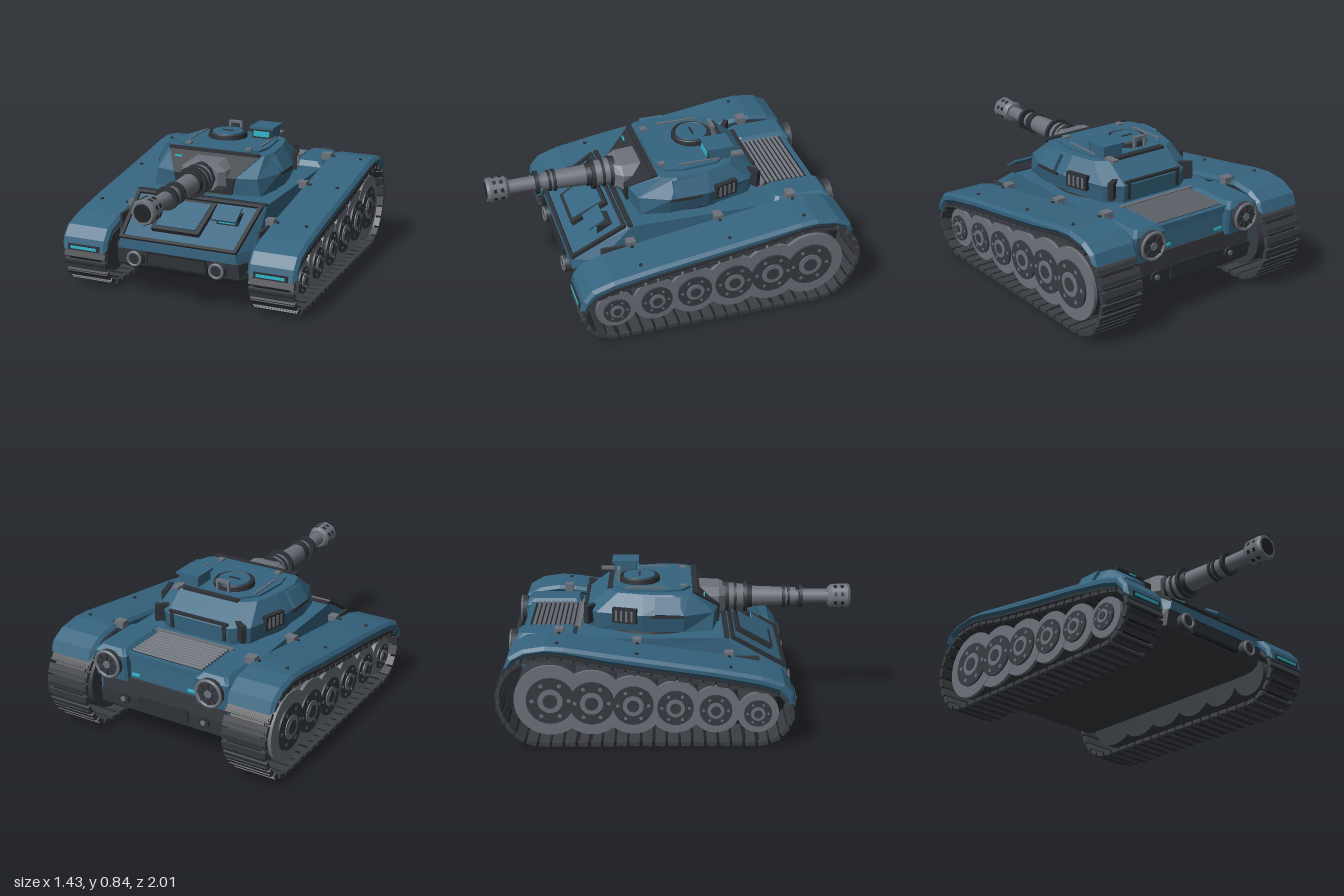
import * as THREE from 'three';

const paint = (name, color) => Object.assign(new THREE.MeshStandardMaterial({ color }), { name });
const M = {
  blue: paint('blue armour', 0x35647f),
  dark: paint('dark trim', 0x2d3136),
  black: paint('black recess', 0x202326),
  hull: paint('lower hull grey', 0x373b41),
  track: paint('track grey', 0x3b3e43),
  steel: paint('steel', 0x6c717a),
  cyan: paint('cyan lamp', 0x2fb9cc),
};

function add(parent, name, geo, mat, x = 0, y = 0, z = 0) {
  const m = new THREE.Mesh(geo, mat);
  m.name = name;
  m.position.set(x, y, z);
  parent.add(m);
  return m;
}
const box = (p, name, mat, w, h, d, x, y, z) => add(p, name, new THREE.BoxGeometry(w, h, d), mat, x, y, z);

// cylinder along the axis 'x', 'y' or 'z'; r1 is the radius at the + end
function cyl(p, name, mat, axis, r0, r1, len, x, y, z, seg = 28) {
  const g = new THREE.CylinderGeometry(r1, r0, len, seg);
  if (axis === 'x') g.rotateZ(-Math.PI / 2);
  if (axis === 'z') g.rotateX(Math.PI / 2);
  return add(p, name, g, mat, x, y, z);
}

// solid through mirrored plan outlines: levels of [y, [[x, z], ...front to back]]
function loft(levels) {
  const rings = levels.map(([y, half]) => [
    ...half.map(([x, z]) => [x, y, z]),
    ...half.slice().reverse().map(([x, z]) => [-x, y, z]),
  ]);
  const n = rings[0].length, v = [];
  const tri = (...pts) => pts.forEach((p) => v.push(...p));
  for (let k = 0; k < rings.length - 1; k++) {
    const a = rings[k], b = rings[k + 1];
    for (let i = 0; i < n; i++) {
      const j = (i + 1) % n;
      tri(a[i], a[j], b[j]);
      tri(a[i], b[j], b[i]);
    }
  }
  const lo = rings[0], hi = rings[rings.length - 1];
  for (let i = 1; i < n - 1; i++) {
    tri(hi[0], hi[i], hi[i + 1]);
    tri(lo[0], lo[i + 1], lo[i]);
  }
  const g = new THREE.BufferGeometry();
  g.setAttribute('position', new THREE.Float32BufferAttribute(v, 3));
  g.computeVertexNormals();
  return g;
}

// side outline of [z, y] points extruded across x
function sideExtrude(pts, width, bevel) {
  const g = new THREE.ExtrudeGeometry(new THREE.Shape(pts.map((p) => new THREE.Vector2(...p))), {
    depth: width - 2 * bevel, bevelEnabled: bevel > 0, bevelSize: bevel, bevelThickness: bevel,
    bevelOffset: -bevel, bevelSegments: 1,
  });
  g.translate(0, 0, -width / 2 + bevel);
  return g.rotateY(-Math.PI / 2);
}

const FENDER_TOP = [[.635, .24], [.62, .31], [.57, .37], [.45, .41], [.2, .455], [-.1, .5], [-.4, .545],
  [-.62, .58], [-.72, .587], [-.84, .57], [-.92, .525], [-.945, .46]];
const FENDER_LOW = [[-.915, .46], [-.885, .5], [-.82, .53], [-.72, .545], [-.62, .535], [-.4, .49],
  [-.1, .442], [.2, .398], [.44, .352], [.54, .32], [.585, .27], [.6, .24]];
const TRACK = [[.46, .02], [.55, .06], [.605, .14], [.615, .21], [.57, .285], [.5, .315], [.2, .365], [-.1, .408],
  [-.4, .458], [-.62, .505], [-.72, .513], [-.84, .495], [-.93, .43], [-.98, .33], [-.98, .23], [-.93, .12],
  [-.86, .05], [-.77, .02], [-.4, .018], [0, .018]];
const WHEELS = [[.43, .19, .115], [.2, .21, .135], [-.02, .225, .15], [-.25, .24, .168], [-.475, .255, .185], [-.7, .27, .2]];

function runningGear(s) {
  const g = new THREE.Group();
  g.name = s > 0 ? 'leftRunningGear' : 'rightRunningGear';
  const cx = s * .57;

  // track links around the loop
  const path = new THREE.CatmullRomCurve3(TRACK.map(([z, y]) => new THREE.Vector3(0, y, z)), true, 'centripetal');
  const count = 52;
  for (let i = 0; i < count; i++) {
    const p = path.getPointAt(i / count), t = path.getTangentAt(i / count);
    const link = new THREE.Group();
    link.name = 'trackLink';
    link.position.set(cx, Math.max(p.y, .018), p.z);
    link.rotation.x = Math.atan2(-t.y, t.z);
    box(link, 'linkPad', M.track, .262, .022, .056, 0, 0, 0);
    box(link, 'linkGrouser', M.dark, .25, .012, .018, 0, -.012, .012);
    box(link, 'linkPin', M.black, .2, .008, .03, 0, .006, .036);
    g.add(link);
  }

  // road wheels, growing towards the back
  WHEELS.forEach(([z, y, r], i) => {
    const face = .672 + i * .002;
    cyl(g, 'wheelBody', M.hull, 'x', r * .98, r * .98, .2, cx, y, z);
    cyl(g, 'wheelRim', M.steel, 'x', r, r, .02, s * (face - .01), y, z, 36);
    cyl(g, 'wheelDisc', M.hull, 'x', r * .66, r * .66, .01, s * (.684 + i * .0005), y, z);
    cyl(g, 'wheelHub', M.steel, 'x', r * .34, r * .34, .014, s * .689, y, z);
    cyl(g, 'hubCap', M.hull, 'x', r * .2, r * .2, .006, s * .697, y, z, 16);
    for (let k = 0; k < 6; k++) {
      const a = k * Math.PI / 3;
      cyl(g, 'wheelBolt', M.steel, 'x', r * .06, r * .06, .01, s * .687, y + Math.sin(a) * r * .5, z + Math.cos(a) * r * .5, 8);
    }
  });

  // fender with a dark lower lip
  add(g, 'fender', sideExtrude([...FENDER_TOP, ...FENDER_LOW], .285, .018), M.blue, cx + s * .002);
  const edge = FENDER_LOW.slice(2, 10);
  const lip = [...edge, ...edge.slice().reverse().map(([z, y]) => [z, y - .016])];
  add(g, 'fenderLip', sideExtrude(lip, .272, 0), M.dark, cx);
  box(g, 'fenderLampFrame', M.dark, .2, .034, .012, cx, .258, .632);
  box(g, 'fenderLamp', M.cyan, .165, .016, .008, cx, .258, .638);

  // bolts and hinges on the fender
  for (const [z, y] of [[.28, .442], [-.23, .52], [-.66, .584]]) {
    for (const x of [.47, .64]) cyl(g, 'fenderBolt', M.dark, 'y', .01, .01, .014, s * x, y, z, 8);
    box(g, 'fenderHinge', M.steel, .06, .04, .05, s * .425, y, z);
  }
  return g;
}

function buildHull() {
  const g = new THREE.Group();
  g.name = 'hull';
  add(g, 'lowerHull', loft([
    [.13, [[.3, .5], [.33, .46], [.33, -.78]]],
    [.19, [[.37, .585], [.42, .5], [.42, -.86]]],
    [.285, [[.37, .605], [.42, .5], [.42, -.88]]],
  ]), M.hull);
  add(g, 'upperHull', loft([
    [.285, [[.36, .605], [.41, .48], [.42, -.87]]],
    [.34, [[.35, .605], [.41, .46], [.42, -.87]]],
    [.53, [[.385, .29], [.4, .26], [.42, -.86]]],
  ]), M.blue);
  for (const s of [1, -1]) box(g, 'hullSideWall', M.hull, .015, .24, 1.3, s * .425, .31, -.2);

  // nose panel and headlamps
  box(g, 'nosePanelFrame', M.black, .37, .085, .02, 0, .242, .597);
  box(g, 'nosePanel', M.dark, .345, .062, .02, 0, .242, .603);
  for (const s of [1, -1]) {
    cyl(g, 'headlampBody', M.hull, 'z', .052, .047, .05, s * .25, .24, .605);
    add(g, 'headlampRing', new THREE.TorusGeometry(.038, .009, 8, 24), M.steel, s * .25, .24, .63);
    cyl(g, 'headlampLens', M.dark, 'z', .032, .032, .01, s * .25, .24, .628, 20);
  }

  // sloped front plate: frame and hatch in the slope's own plane
  const slope = new THREE.Group();
  slope.name = 'frontPlate';
  slope.position.set(0, .435, .4475);
  slope.rotation.x = Math.atan2(.19, .315);
  box(slope, 'frameBottom', M.dark, .7, .02, .02, 0, .004, .172);
  box(slope, 'frameTop', M.dark, .77, .02, .02, 0, .004, -.172);
  for (const s of [1, -1]) box(slope, 'frameSide', M.dark, .022, .02, .36, s * .362, .004, 0).rotation.y = -s * .095;
  add(slope, 'hatchFrame', loft([[0, [[.145, .1], [.168, -.14]]], [.026, [[.145, .1], [.168, -.14]]]]), M.dark, -.04);
  add(slope, 'hatchPlate', loft([[.02, [[.12, .078], [.142, -.12]]], [.033, [[.12, .078], [.142, -.12]]]]), M.blue, -.04);
  box(slope, 'visorLid', M.blue, .15, .012, .11, .23, .06, -.045);
  g.add(slope);
  box(g, 'visorBody', M.dark, .13, .06, .1, .23, .465, .385);
  box(g, 'visorLamp', M.cyan, .095, .026, .008, .23, .466, .438);

  // deck, turret ring and engine grille
  box(g, 'deckEdge', M.dark, .8, .012, .03, 0, .532, .27);
  cyl(g, 'turretRing', M.dark, 'y', .34, .33, .04, 0, .54, -.14, 40);
  box(g, 'grilleBed', M.black, .46, .02, .3, 0, .53, -.71);
  for (let i = 0; i < 10; i++) box(g, 'grilleSlat', M.steel, .45, .014, .016, 0, .545, -.58 - i * .027).rotation.x = .4;
  box(g, 'grilleFrontBar', M.steel, .5, .02, .02, 0, .545, -.56);
  box(g, 'grilleRearBar', M.blue, .46, .04, .03, 0, .525, -.86);

  // rear engine pods with round fans
  for (const s of [1, -1]) {
    add(g, 'enginePod', loft([
      [.38, [[.09, .17], [.105, .15], [.105, -.15], [.09, -.16]]],
      [.53, [[.09, .17], [.105, .15], [.105, -.16], [.09, -.17]]],
      [.562, [[.06, .15], [.075, .13], [.075, -.12], [.06, -.14]]],
    ]), M.blue, s * .325, 0, -.74);
    cyl(g, 'fanHousing', M.hull, 'z', .085, .08, .03, s * .325, .475, -.92);
    add(g, 'fanRing', new THREE.TorusGeometry(.074, .01, 8, 28), M.steel, s * .325, .475, -.935);
    cyl(g, 'fanHub', M.steel, 'z', .022, .022, .012, s * .325, .475, -.938, 16);
    for (let k = 0; k < 4; k++) box(g, 'fanBlade', M.dark, .135, .012, .008, s * .325, .475, -.936).rotation.z = k * Math.PI / 4;
    box(g, 'rearLamp', M.cyan, .05, .015, .008, s * .18, .42, -.871);
    cyl(g, 'rearPort', M.dark, 'z', .035, .035, .02, s * .26, .26, -.88, 20);
    cyl(g, 'rearPortCap', M.steel, 'z', .015, .015, .01, s * .26, .26, -.892, 12);
  }
  box(g, 'rearPlate', M.hull, .8, .11, .012, 0, .34, -.874);
  box(g, 'rearPanel', M.dark, .32, .08, .012, 0, .26, -.88);
  return g;
}

function buildTurret() {
  const g = new THREE.Group();
  g.name = 'turret';
  add(g, 'turretShell', loft([
    [.55, [[.18, .22], [.33, .19], [.36, .03], [.35, -.2], [.29, -.45], [.2, -.52]]],
    [.65, [[.19, .225], [.31, .2], [.383, .03], [.375, -.2], [.3, -.46], [.2, -.53]]],
    [.755, [[.27, .085], [.3, .06], [.325, -.02], [.31, -.2], [.27, -.34], [.2, -.39]]],
  ]), M.blue);
  add(g, 'roofPlate', loft([.75, .767].map((y) => [y, [[.18, .07], [.25, .02], [.27, -.08], [.25, -.28], [.17, -.37]]])), M.blue);
  add(g, 'mantletSurround', loft([
    [.552, [[.17, .235], [.17, 0]]], [.65, [[.19, .238], [.19, 0]]], [.752, [[.28, .1], [.28, .05]]],
  ]), M.dark);
  box(g, 'roofFrontLip', M.dark, .56, .014, .03, 0, .757, .095);
  box(g, 'turretLamp', M.cyan, .045, .01, .008, -.2, .722, .148);

  // side panels, vents and rear frame
  for (const s of [1, -1]) {
    const panel = box(g, 'sidePanel', M.blue, .025, .1, .14, s * .36, .7, -.06);
    panel.rotation.z = s * .52;
    box(g, 'sideStrap', M.dark, .03, .014, .18, s * .375, .645, -.06);
    const vent = new THREE.Group();
    vent.name = 'sideVent';
    vent.position.set(s * .35, .645, -.3);
    vent.rotation.y = s * .28;
    box(vent, 'ventFrame', M.dark, .03, .085, .14, 0, 0, 0);
    for (let i = 0; i < 4; i++) box(vent, 'ventSlat', M.steel, .008, .06, .012, s * .016, 0, -.045 + i * .03);
    g.add(vent);
    box(g, 'roofRail', M.steel, .01, .012, .24, s * .225, .768, -.18);
    box(g, 'roofClamp', M.steel, .035, .02, .035, s * .19, .768, .03);
    const corner = box(g, 'rearCorner', M.dark, .1, .1, .03, s * .25, .63, -.49);
    corner.rotation.y = s * .6;
    box(g, 'rearUpright', M.dark, .02, .1, .02, s * .17, .62, -.525);
  }
  box(g, 'rearBand', M.dark, .38, .014, .02, 0, .665, -.522);
  box(g, 'rearRoofStrip', M.dark, .36, .014, .03, 0, .755, -.385);

  // commander hatch
  cyl(g, 'hatchBase', M.dark, 'y', .118, .115, .03, -.05, .775, -.22, 36);
  cyl(g, 'hatchLid', M.blue, 'y', .098, .09, .03, -.05, .786, -.22, 32);
  add(g, 'hatchRim', new THREE.TorusGeometry(.106, .009, 8, 36).rotateX(Math.PI / 2), M.dark, -.05, .79, -.22);
  box(g, 'hatchSlot', M.dark, .07, .008, .012, -.05, .801, -.22);
  box(g, 'handleBar', M.steel, .085, .014, .02, -.05, .827, -.34);
  for (const s of [1, -1]) box(g, 'handlePost', M.steel, .014, .06, .018, -.05 + s * .036, .795, -.34);

  // roof sight box
  box(g, 'sightBody', M.blue, .125, .07, .13, .16, .795, -.305);
  box(g, 'sightLid', M.blue, .148, .014, .155, .16, .831, -.305);
  box(g, 'sightFrame', M.dark, .118, .05, .008, .16, .795, -.238);
  box(g, 'sightWindow', M.cyan, .1, .032, .008, .16, .796, -.233);
  box(g, 'roofBracket', M.steel, .04, .014, .1, .2, .768, -.4);
  return g;
}

function buildGun() {
  const g = new THREE.Group();
  g.name = 'gun';
  g.position.y = .65;
  const mantlet = loft([
    [.1, [[.09, .085], [.15, .04], [.15, -.055], [.1, -.09]]],
    [.235, [[.085, .08], [.14, .04], [.14, -.05], [.1, -.08]]],
    [.275, [[.06, .07], [.1, .035], [.1, -.04], [.07, -.07]]],
  ]).rotateX(Math.PI / 2).rotateZ(Math.PI);
  add(g, 'mantlet', mantlet, M.steel);
  // barrel steps: start z, end z, start radius, end radius, colour, sides
  const steps = [
    [.26, .295, .09, .088, M.dark, 8], [.29, .385, .08, .07, M.steel, 24], [.325, .34, .083, .083, M.dark, 24],
    [.38, .4, .09, .09, M.dark, 24], [.395, .43, .07, .065, M.dark, 24], [.42, .685, .06, .05, M.steel, 24],
    [.605, .622, .064, .064, M.dark, 24], [.635, .65, .061, .061, M.dark, 24], [.68, .72, .035, .035, M.steel, 20],
    [.703, .724, .067, .067, M.dark, 24], [.72, .88, .042, .04, M.steel, 20],
    [.872, .89, .055, .07, M.steel, 8], [.89, .985, .07, .074, M.steel, 8], [.985, 1, .074, .066, M.steel, 8],
  ];
  for (const [a, b, r0, r1, mat, seg] of steps) cyl(g, 'barrelSection', mat, 'z', r0, r1, b - a, 0, 0, (a + b) / 2, seg);
  cyl(g, 'muzzleBore', M.black, 'z', .05, .05, .004, 0, 0, .999, 24);
  for (let i = 0; i < 8; i++) {
    const face = new THREE.Group();
    face.name = 'muzzlePorts';
    face.rotation.z = (i + .5) * Math.PI / 4;
    for (const z of [.915, .955]) box(face, 'muzzlePort', M.black, .006, .022, .018, .066, 0, z);
    g.add(face);
  }
  return g;
}

export function createModel() {
  const model = new THREE.Group();
  model.name = 'tank';
  model.add(buildHull(), buildTurret(), buildGun(), runningGear(1), runningGear(-1));
  return model;
}
